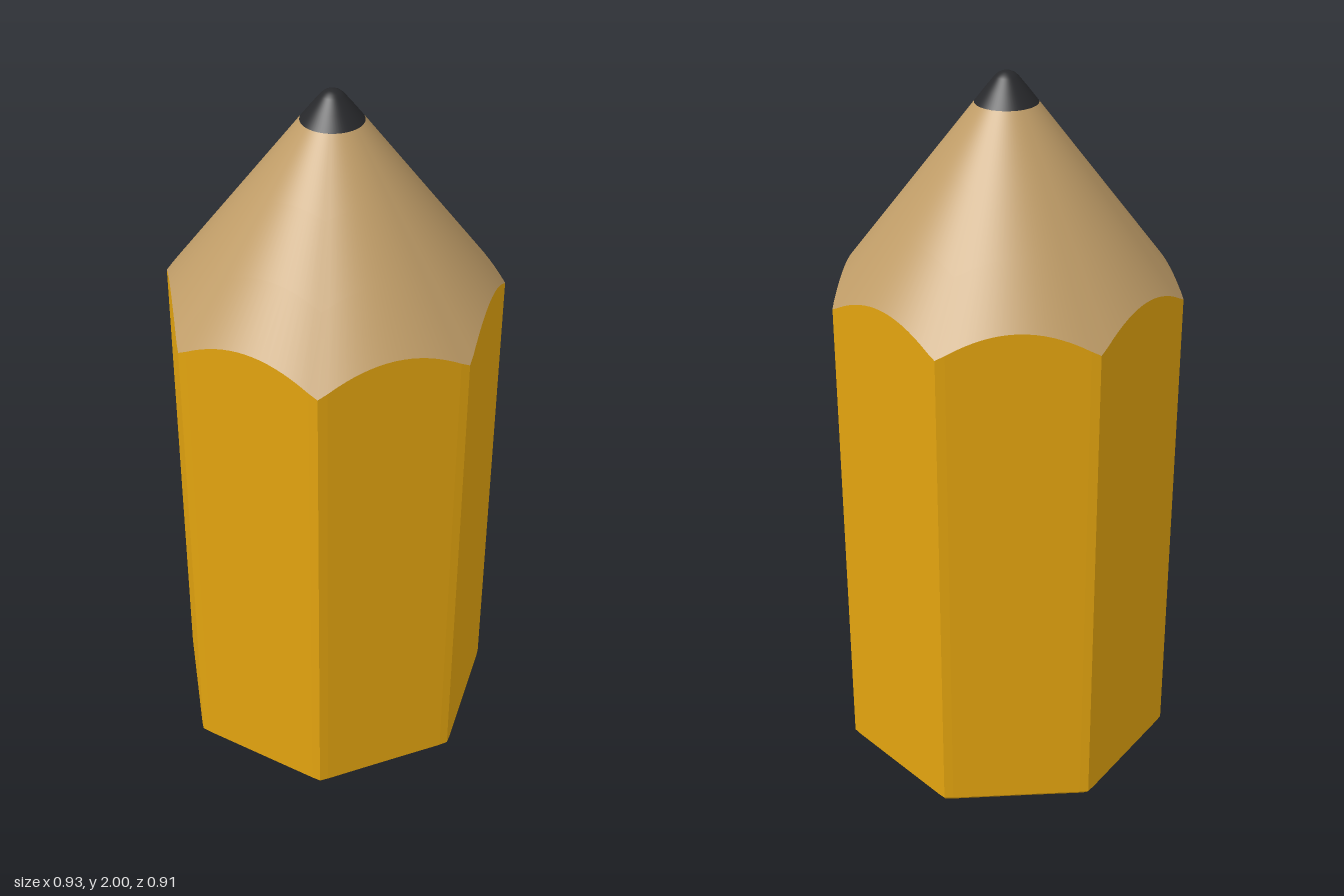
import * as THREE from 'three';

const SIDES = 7, PER_SIDE = 18, COUNT = SIDES * PER_SIDE;
const APOTHEM = 0.43, CORNER = 0.4755;   // corners are very slightly blunted
const BODY_Z = -0.0235, TIP_Z = -0.031;  // prism centre and sharpened-tip axis
const LEAD_Y = 1.92, LEAD_R = 0.083;

// Distance from the axis to the seven-sided outline at angle t (a corner faces +z)
function outline(t) {
  const side = (2 * Math.PI) / SIDES;
  return Math.min(APOTHEM / Math.cos((t % side) - side / 2), CORNER);
}

// Height of the scalloped border where the sharpening cone cuts the flat sides
const scallop = (t) => 1.466 - 1.45 * (outline(t) - APOTHEM);

// Closed loop of points from a rule point(t)
function ring(point) {
  return Array.from({ length: COUNT }, (_, i) => point((i / COUNT) * 2 * Math.PI));
}

// Skin a stack of loops from bottom to top
function loft(rings, capBottom) {
  const positions = rings.flat(2);
  const index = [];
  for (let r = 0; r < rings.length - 1; r++) {
    for (let i = 0; i < COUNT; i++) {
      const j = (i + 1) % COUNT;
      const a = r * COUNT + i, b = r * COUNT + j, c = b + COUNT, d = a + COUNT;
      index.push(a, b, c, a, c, d);
    }
  }
  if (capBottom) {
    const centre = positions.length / 3;
    positions.push(0, rings[0][0][1], BODY_Z);
    for (let i = 0; i < COUNT; i++) index.push(centre, (i + 1) % COUNT, i);
  }
  const geometry = new THREE.BufferGeometry();
  geometry.setAttribute('position', new THREE.Float32BufferAttribute(positions, 3));
  geometry.setIndex(index);
  return geometry;
}

const bodyPoint = (t, inset, y) => {
  const r = outline(t) - inset;
  return [r * Math.sin(t), y, BODY_Z + r * Math.cos(t)];
};

export function createModel() {
  const group = new THREE.Group();
  group.name = 'pencil';

  const yellow = new THREE.MeshStandardMaterial({ color: 0xe3a40f });
  yellow.name = 'yellow paint';
  const woodTan = new THREE.MeshStandardMaterial({ color: 0xc09d68 });
  woodTan.name = 'bare wood';
  const graphite = new THREE.MeshStandardMaterial({ color: 0x27282b });
  graphite.name = 'graphite';

  const add = (name, geometry, material) => {
    const mesh = new THREE.Mesh(geometry, material);
    mesh.name = name;
    group.add(mesh);
    return mesh;
  };

  // Painted seven-sided body with a small bevel at the foot
  const body = loft([
    ring((t) => bodyPoint(t, 0.008, 0)),
    ring((t) => bodyPoint(t, 0, 0.01)),
    ring((t) => bodyPoint(t, 0, scallop(t))),
  ], true).toNonIndexed();
  body.computeVertexNormals();
  add('paintedBody', body, yellow);

  // Sharpened wood: straight lines from the scalloped border to the lead
  const woodRings = [0, 0.33, 0.67, 1].map((k) => ring((t) => {
    const low = bodyPoint(t, 0, scallop(t));
    const high = [LEAD_R * Math.sin(t), LEAD_Y, TIP_Z + LEAD_R * Math.cos(t)];
    return low.map((v, n) => v + (high[n] - v) * k);
  }));
  const wood = loft(woodRings, false);
  wood.computeVertexNormals();
  add('sharpenedWood', wood, woodTan);

  // Lead with a rounded point
  const profile = [[LEAD_R, LEAD_Y], [0.056, 1.955], [0.031, 1.986], [0.022, 1.994], [0.011, 1.999], [0, 2]];
  const lead = add('leadTip', new THREE.LatheGeometry(
    profile.map(([r, y]) => new THREE.Vector2(r, y)), 64), graphite);
  lead.position.z = TIP_Z;

  return group;
}
